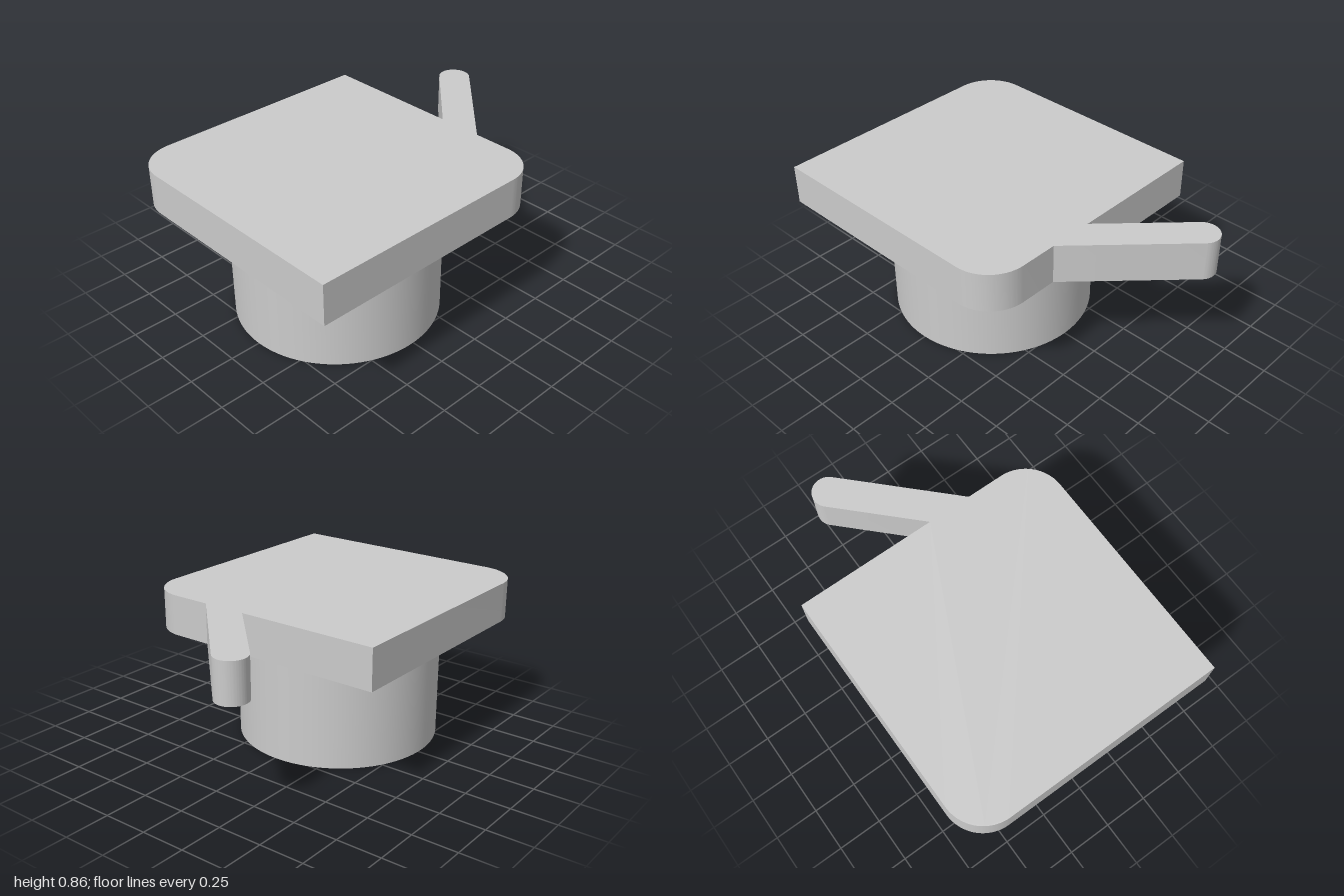
import * as THREE from 'three';
import { toCreasedNormals } from 'three/addons/utils/BufferGeometryUtils.js';

const BASE_HEIGHT = 0.635;
const PLATE_HEIGHT = 0.22;

// Plan outline (shape y = -z): square plate, two opposite rounded corners, diagonal arm
function plateOutline() {
  const right = 0.46, half = 0.73, corner = 0.22, armRadius = 0.087;
  const s = new THREE.Shape();
  s.moveTo(-1, -half);
  s.lineTo(right - corner, -half);
  s.absarc(right - corner, -half + corner, corner, -Math.PI / 2, 0, false);
  s.lineTo(right, -0.301);
  s.absarc(1 - armRadius, 0.275, armRadius, -Math.PI / 4, Math.PI * 0.75, false);
  s.lineTo(right, -0.055);
  s.lineTo(right, half);
  s.lineTo(-1 + corner, half);
  s.absarc(-1 + corner, half - corner, corner, Math.PI / 2, Math.PI, false);
  s.closePath();
  return s;
}

export function createModel() {
  const group = new THREE.Group();
  const material = new THREE.MeshStandardMaterial({ color: 0xcccccc });

  // Round base post
  const post = new THREE.Mesh(new THREE.CylinderGeometry(0.557, 0.557, BASE_HEIGHT, 96), material);
  post.name = 'basePost';
  post.position.set(-0.27, BASE_HEIGHT / 2, 0.008 - 0.016);
  group.add(post);

  // Top plate with its pointer arm
  const geometry = new THREE.ExtrudeGeometry(plateOutline(), {
    depth: PLATE_HEIGHT, bevelEnabled: false, curveSegments: 24,
  });
  geometry.rotateX(-Math.PI / 2);
  const plate = new THREE.Mesh(toCreasedNormals(geometry, Math.PI / 6), material);
  plate.name = 'topPlateWithArm';
  plate.position.y = BASE_HEIGHT;
  group.add(plate);

  return group;
}
